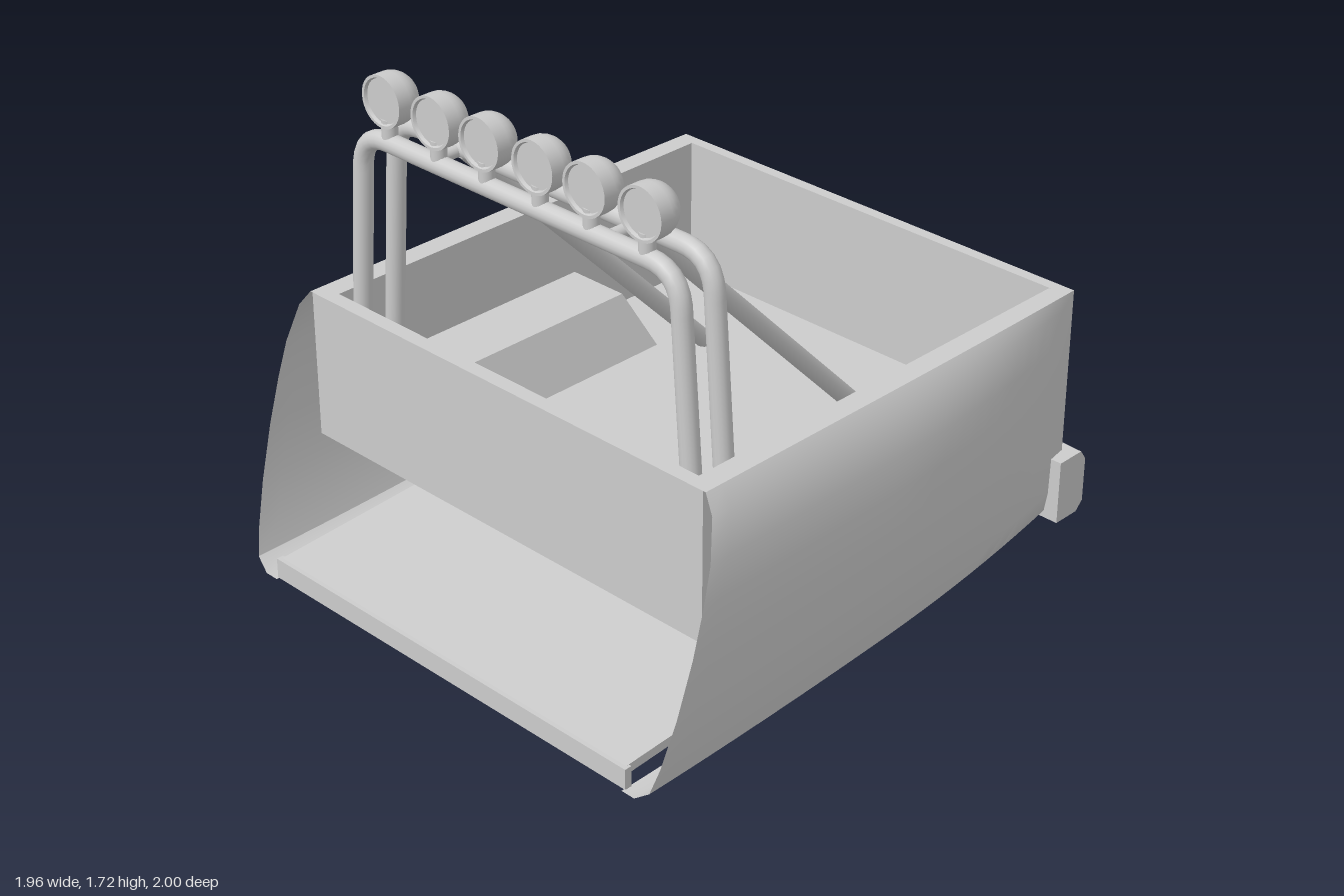
import * as THREE from 'three';
import { toCreasedNormals } from 'three/addons/utils/BufferGeometryUtils.js';

const grey = new THREE.MeshStandardMaterial({ color: 0xcccccc });
const greyDouble = new THREE.MeshStandardMaterial({ color: 0xcccccc, side: THREE.DoubleSide });
const lerp = THREE.MathUtils.lerp;
const BACK = -0.91, TOP = 0.93;

function add(parent, name, geometry, material = grey) {
  const mesh = new THREE.Mesh(geometry, material);
  mesh.name = name;
  parent.add(mesh);
  return mesh;
}

// Box given by its limits
function box(parent, name, x0, x1, y0, y1, z0, z1) {
  const g = new THREE.BoxGeometry(x1 - x0, y1 - y0, z1 - z0);
  return add(parent, name, g.translate((x0 + x1) / 2, (y0 + y1) / 2, (z0 + z1) / 2));
}

// Capped rod between two points
function rod(parent, name, a, b, r) {
  const from = new THREE.Vector3(...a), to = new THREE.Vector3(...b);
  const mesh = add(parent, name, new THREE.CylinderGeometry(r, r, from.distanceTo(to), 20));
  mesh.position.copy(from).lerp(to, 0.5);
  mesh.quaternion.setFromUnitVectors(new THREE.Vector3(0, 1, 0), to.sub(from).normalize());
  return mesh;
}

// Outer side: height fraction, offset at the tail, extra bulge further forward
const SIDE_ROWS = [
  [0, 0.77, 0], [0, 0.79, 0.03], [0.04, 0.82, 0.05], [0.13, 0.83, 0.06], [0.3, 0.83, 0.08],
  [0.5, 0.83, 0.09], [0.67, 0.83, 0.088], [0.8, 0.83, 0.08], [0.94, 0.83, 0.05], [1, 0.83, 0.01], [1, 0.77, 0],
];
function sideShell(side) {
  const cols = 24, rows = SIDE_ROWS.length, pos = [], index = [];
  for (let i = 0; i <= cols; i++) {
    for (const [v, base, bulge] of SIDE_ROWS) {
      const z = lerp(BACK, 1 - 0.26 * v, i / cols);
      const u = Math.min(1, (z - BACK) / 0.9);
      const low = 0.03 + 0.11 * Math.pow(Math.max(0, 1 - z) / 1.91, 1.8);
      pos.push(side * (base + bulge * (1 - (1 - u) ** 2)), lerp(low, TOP, v), z);
    }
  }
  for (let i = 0; i < cols; i++) {
    for (let j = 0; j < rows - 1; j++) {
      const a = i * rows + j, b = a + 1, c = a + rows, d = c + 1;
      if (side > 0) index.push(a, b, c, b, d, c);
      else index.push(a, c, b, b, c, d);
    }
  }
  const g = new THREE.BufferGeometry();
  g.setAttribute('position', new THREE.Float32BufferAttribute(pos, 3));
  g.setIndex(index);
  return toCreasedNormals(g, 0.7);
}

// Roll hoop with rounded upper corners
function hoop(z) {
  const p = (x, y) => new THREE.Vector3(x, y, z);
  const path = new THREE.CurvePath();
  path.add(new THREE.LineCurve3(p(-0.735, 0.41), p(-0.66, 1.39)));
  path.add(new THREE.QuadraticBezierCurve3(p(-0.66, 1.39), p(-0.65, 1.5), p(-0.54, 1.5)));
  path.add(new THREE.LineCurve3(p(-0.54, 1.5), p(0.54, 1.5)));
  path.add(new THREE.QuadraticBezierCurve3(p(0.54, 1.5), p(0.65, 1.5), p(0.66, 1.39)));
  path.add(new THREE.LineCurve3(p(0.66, 1.39), p(0.735, 0.41)));
  return new THREE.TubeGeometry(path, 120, 0.031, 16);
}

// Box whose top is pulled in to form a wheel tub
function wheelTub(side) {
  const g = new THREE.BoxGeometry(1, 1, 1).toNonIndexed();
  const p = g.attributes.position;
  for (let i = 0; i < p.count; i++) {
    const inner = p.getX(i) > 0, up = p.getY(i) > 0, front = p.getZ(i) > 0;
    const x = inner ? (up ? 0.54 : 0.46) : 0.77;
    const z = front ? (up ? 0.35 : 0.46) : (up ? -0.31 : -0.4);
    p.setXYZ(i, side * x, up ? 0.64 : 0.435, z);
  }
  // Swap corners where the outline is not mirrored
  if (side > 0) {
    for (let i = 0; i < p.count; i += 3) {
      const b = [p.getX(i + 1), p.getY(i + 1), p.getZ(i + 1)];
      p.setXYZ(i + 1, p.getX(i + 2), p.getY(i + 2), p.getZ(i + 2));
      p.setXYZ(i + 2, ...b);
    }
  }
  // The unmirrored profile runs inward along +x, so both sides end up facing out
  g.computeVertexNormals();
  return g;
}

// Bumper piece between two offsets, pushed out to a given depth
function bumperPiece(parent, name, x0, x1, zBack, taper) {
  const s = new THREE.Shape();
  [[0.84, 0.14], [zBack - 0.03, 0.14], [zBack, 0.17], [zBack, 0.325], [zBack - 0.025, 0.36], [0.84, 0.36]]
    .forEach(([z, y], i) => (i ? s.lineTo(z, y) : s.moveTo(z, y)));
  const g = new THREE.ExtrudeGeometry(s, { depth: x1 - x0, bevelEnabled: false });
  g.rotateY(Math.PI / 2).translate(x0, 0, 0);
  const p = g.attributes.position;
  // Outer ends are chamfered at the rear corner
  for (let i = 0; i < p.count; i++) {
    if (taper && Math.abs(p.getX(i)) > 0.87 && p.getZ(i) < -0.9) p.setZ(i, p.getZ(i) + 0.03);
  }
  g.computeVertexNormals();
  return add(parent, name, g);
}

export function createModel() {
  const model = new THREE.Group();
  model.name = 'truckBed';
  const bed = new THREE.Group();
  bed.name = 'bed';
  bed.position.x = 0.06;
  model.add(bed);

  // Sides, inner walls and wheel tubs
  for (const s of [-1, 1]) {
    add(bed, 'sidePanel', sideShell(s), greyDouble);
    box(bed, 'innerWall', s * 0.7725 - 0.0075, s * 0.7725 + 0.0075, 0.43, 0.929, -0.89, 0.7);
    add(bed, 'wheelTub', wheelTub(s), greyDouble);
  }
  box(bed, 'bedFloor', -0.78, 0.78, 0.43, 0.445, -0.89, 0.73);
  box(bed, 'frontWall', -0.83, 0.83, 0.43, TOP, 0.69, 0.74);

  // Sloping lower floor with its front lip
  const under = new THREE.BoxGeometry(1.53, 0.03, 1.86);
  const up = under.attributes.position;
  for (let i = 0; i < up.count; i++) {
    const z = up.getZ(i);
    up.setXYZ(i, up.getX(i), up.getY(i) + 0.135 - z * 0.054, z + 0.05);
  }
  under.computeVertexNormals();
  add(bed, 'lowerFloor', under);
  box(bed, 'frontLip', -0.775, 0.775, 0.03, 0.1, 0.965, 0.99);

  // Tailgate with a recessed panel
  const gate = new THREE.Shape([[-0.83, 0.14], [0.83, 0.14], [0.83, TOP], [-0.83, TOP]].map(p => new THREE.Vector2(...p)));
  gate.holes.push(new THREE.Path([[-0.6, 0.44], [-0.6, 0.77], [0.6, 0.77], [0.6, 0.44]].map(p => new THREE.Vector2(...p))));
  add(bed, 'tailgateFrame', new THREE.ExtrudeGeometry(gate, { depth: 0.025, bevelEnabled: false }).translate(0, 0, BACK));
  box(bed, 'tailgatePanel', -0.82, 0.82, 0.15, TOP, -0.886, -0.87);
  for (const s of [-1, 1]) {
    box(bed, 'tailLight', s * 0.715 - 0.05, s * 0.715 + 0.05, 0.55, 0.76, -0.925, BACK);
    box(bed, 'tailLightLens', s * 0.715 - 0.035, s * 0.715 + 0.035, 0.59, 0.75, -0.94, -0.92);
  }

  // Rear bumper with a stepped centre
  bumperPiece(bed, 'bumperRight', -0.88, -0.33, 1, true);
  bumperPiece(bed, 'bumperLeft', 0.33, 0.88, 1, true);
  bumperPiece(bed, 'bumperCentre', -0.33, 0.33, 0.975, false);

  // Roll bars and struts
  for (const z of [0.52, 0.65]) add(bed, 'rollHoop', hoop(z), greyDouble);
  for (const x of [-0.36, 0.36]) {
    rod(bed, 'rollBarStrut', [x, 1.49, 0.51], [x, 0.435, -0.54], 0.031);
    rod(bed, 'hoopLink', [x, 1.495, 0.52], [x, 1.495, 0.65], 0.02);
  }

  // Row of lamps: rim, inset lens and domed back
  const profile = [[0, 0.025], [0.07, 0.025], [0.074, 0.035], [0.083, 0.035], [0.083, -0.01]];
  for (let i = 1; i <= 8; i++) {
    const a = i / 8 * Math.PI / 2;
    profile.push([0.083 * Math.cos(a), -0.01 - 0.075 * Math.sin(a)]);
  }
  const lamp = toCreasedNormals(new THREE.LatheGeometry(profile.map(p => new THREE.Vector2(...p)), 32), 0.6);
  lamp.rotateX(Math.PI / 2);
  for (const x of [-0.53, -0.315, -0.11, 0.11, 0.315, 0.53]) {
    add(bed, 'lamp', lamp, greyDouble).position.set(x, 1.64, 0.645);
    rod(bed, 'lampStem', [x, 1.51, 0.65], [x, 1.58, 0.65], 0.025);
  }

  // Exhaust
  const exhaust = new THREE.Group();
  exhaust.name = 'exhaust';
  model.add(exhaust);
  rod(exhaust, 'muffler', [-0.86, 0.065, -0.72], [-0.33, 0.065, -0.72], 0.06);
  rod(exhaust, 'tailPipe', [-0.84, 0.07, -0.73], [-0.97, 0.035, -0.73], 0.032);
  const pipe = new THREE.CatmullRomCurve3([[-0.35, 0.06, -0.72], [-0.2, 0.08, -0.74], [0, 0.2, -0.79], [0.15, 0.27, -0.82]]
    .map(p => new THREE.Vector3(...p)));
  add(exhaust, 'exhaustPipe', new THREE.TubeGeometry(pipe, 30, 0.028, 14), greyDouble);
  return model;
}
